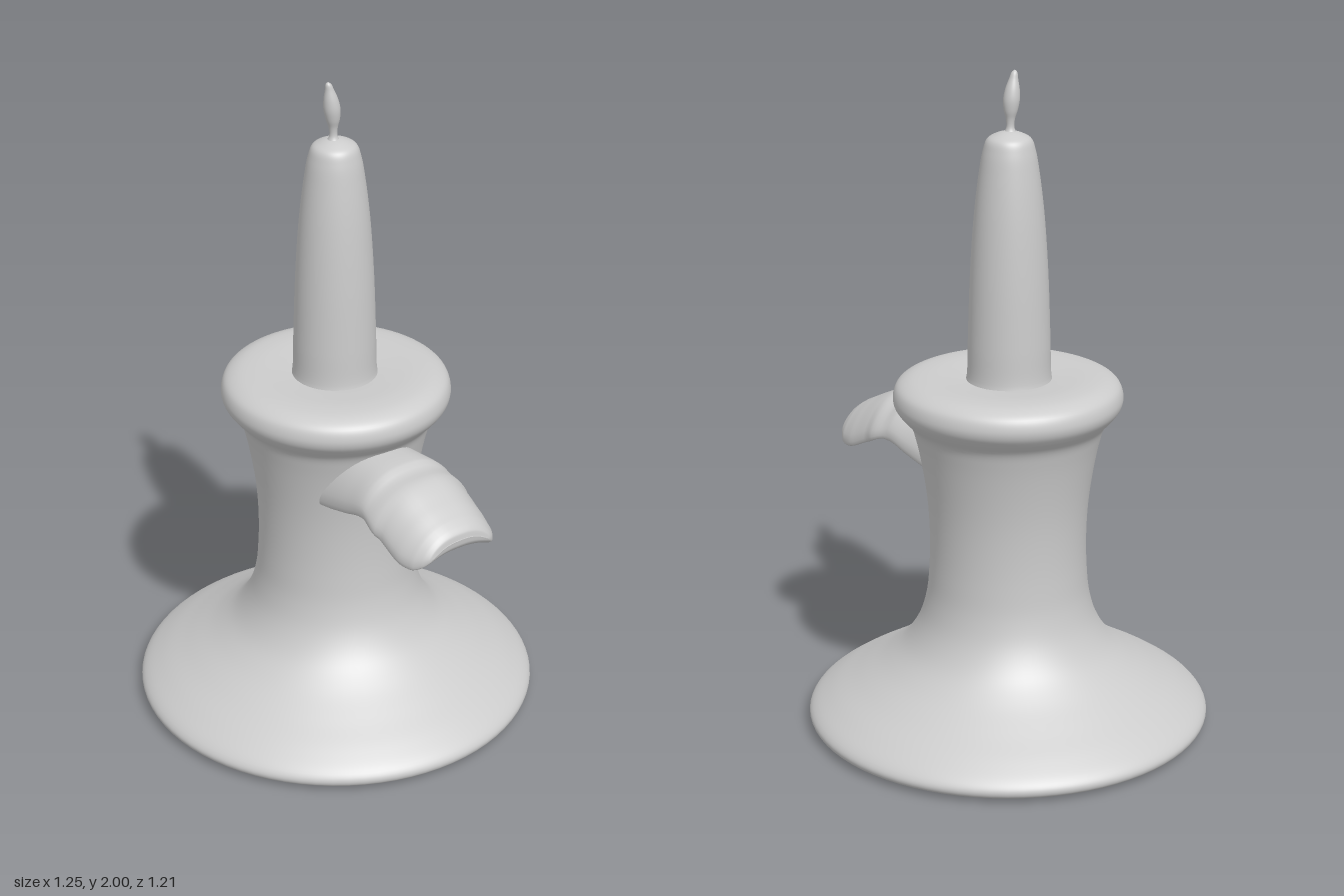
import * as THREE from 'three';

const AXIS_X = -0.02;
const material = new THREE.MeshStandardMaterial({ color: 0xcccccc, side: THREE.DoubleSide });

// Smooth lathe through a few [radius, height] points, listed bottom to top
function turned(name, profile, samples) {
  const curve = new THREE.CatmullRomCurve3(profile.map(([r, y]) => new THREE.Vector3(r, y, 0)), false, 'centripetal');
  const points = curve.getPoints(samples).map((p) => new THREE.Vector2(Math.max(p.x, 0), p.y));
  const mesh = new THREE.Mesh(new THREE.LatheGeometry(points, 80), material);
  mesh.name = name;
  mesh.position.x = AXIS_X;
  return mesh;
}

// Saddle-shaped thumb grip, lofted from arched cross-sections along x
function createHandle() {
  // [x, centre height, side droop, half thickness, half width]
  const stations = [
    [0.08, 0.86, 0.09, 0.05, 0.16],
    [0.20, 0.885, 0.085, 0.06, 0.161],
    [0.28, 0.897, 0.075, 0.056, 0.161],
    [0.36, 0.904, 0.06, 0.05, 0.161],
    [0.45, 0.89, 0.075, 0.05, 0.161],
    [0.53, 0.855, 0.075, 0.05, 0.158],
    [0.58, 0.835, 0.06, 0.045, 0.144],
    [0.605, 0.831, 0.045, 0.033, 0.125],
    [0.617, 0.832, 0.035, 0.018, 0.108],
    [0.62, 0.833, 0.03, 0.001, 0.095],
  ];
  const spline = (k) => new THREE.CatmullRomCurve3(
    stations.map((s) => new THREE.Vector3(s[k], s[k + 1] ?? 0, s[k + 2] ?? 0)));
  const shapeCurve = spline(0), sizeCurve = spline(3);
  const rows = 54, ring = 48;
  const soft = (v) => Math.sign(v) * Math.pow(Math.abs(v), 0.75);
  const positions = [], index = [];
  for (let i = 0; i <= rows; i++) {
    const { x, y: centre, z: droop } = shapeCurve.getPoint(i / rows);
    const { x: thick, y: width } = sizeCurve.getPoint(i / rows);
    for (let j = 0; j < ring; j++) {
      const a = (j / ring) * Math.PI * 2;
      const u = soft(Math.cos(a)), v = soft(Math.sin(a));
      positions.push(x, centre - droop * Math.pow(Math.abs(u), 2.5) + thick * v, 0.02 + width * u);
      if (i < rows) {
        const p = i * ring + j, q = i * ring + (j + 1) % ring;
        index.push(p, q, p + ring, q, q + ring, p + ring);
      }
    }
  }
  const geometry = new THREE.BufferGeometry();
  geometry.setAttribute('position', new THREE.Float32BufferAttribute(positions, 3));
  // Wind the faces outwards
  for (let k = 0; k < index.length; k += 3) [index[k + 1], index[k + 2]] = [index[k + 2], index[k + 1]];
  geometry.setIndex(index);
  geometry.computeVertexNormals();
  const mesh = new THREE.Mesh(geometry, material);
  mesh.name = 'handle';
  return mesh;
}

export function createModel() {
  const group = new THREE.Group();
  group.name = 'candlestick';

  // Flared foot, waisted stem and rolled rim
  group.add(turned('holder', [
    [0, 0.004], [0.3, 0.004], [0.52, 0.006], [0.575, 0.012], [0.6, 0.024], [0.605, 0.04],
    [0.594, 0.06], [0.54, 0.1], [0.455, 0.15], [0.37, 0.205], [0.31, 0.26], [0.268, 0.33],
    [0.245, 0.41], [0.236, 0.5], [0.234, 0.6], [0.239, 0.7], [0.252, 0.8], [0.272, 0.9],
    [0.288, 0.95], [0.318, 0.985], [0.335, 1.01], [0.339, 1.035], [0.328, 1.067], [0.295, 1.087],
    [0.24, 1.094], [0.16, 1.09], [0.1, 1.085], [0, 1.085],
  ], 140));

  // Tapered candle with a rounded shoulder
  const candle = turned('candle', [
    [0.13, 1.07], [0.124, 1.1], [0.121, 1.2], [0.114, 1.4], [0.102, 1.58], [0.088, 1.7],
    [0.076, 1.77], [0.064, 1.803], [0.042, 1.817], [0.018, 1.825], [0, 1.827],
  ], 70);
  candle.position.z = 0.004;
  group.add(candle);

  // Flame on its wick, with the tip bent forwards
  const flame = turned('flame', [
    [0.022, 1.815], [0.012, 1.835], [0.013, 1.86], [0.02, 1.885], [0.024, 1.915],
    [0.021, 1.945], [0.013, 1.975], [0.008, 1.993], [0, 2],
  ], 40);
  const pos = flame.geometry.attributes.position;
  for (let i = 0; i < pos.count; i++) {
    const t = Math.max(0, (pos.getY(i) - 1.83) / 0.17);
    pos.setZ(i, pos.getZ(i) + 0.008 + 0.018 * t * t);
  }
  flame.geometry.computeVertexNormals();
  group.add(flame);

  group.add(createHandle());
  return group;
}
